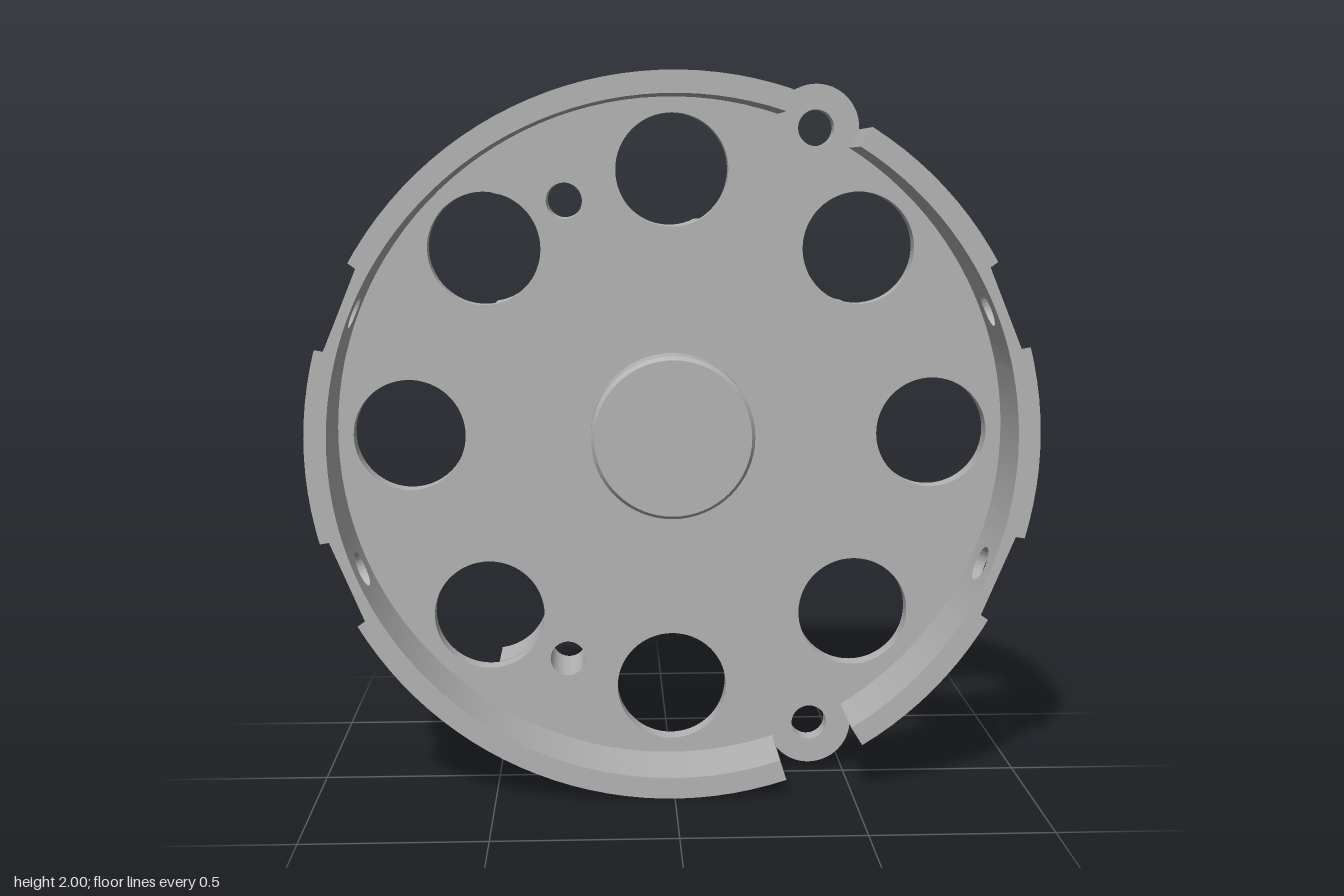
import * as THREE from 'three';
import { toCreasedNormals } from 'three/addons/utils/BufferGeometryUtils.js';

const { sqrt, sin, cos, abs, min, asin, atan2, PI } = Math;
const RAD = PI / 180;
// depth levels along z
const FRONT = 0.21, FLOOR = -0.01, BACK = -0.065, STEP = -0.13, REAR = -0.21;
const INNER = 0.94, FILLET = 0.035, FLAT = 0.968;      // rim radii
const SPOT = 0.165, SCREW = 0.05, PAD_Z = 0.1, PAD_W = 0.17;
const PAD_A = asin(PAD_W);
const EAR = new THREE.Vector2(0.4, 0.855), EAR_R = 0.12;
const HOLE_R = 0.157, HOLE_D = 0.74;

const metal = new THREE.MeshStandardMaterial({ color: 0xb4b4b4, side: THREE.DoubleSide });
metal.name = 'grey metal';

function add(group, name, geometry) {
  const mesh = new THREE.Mesh(toCreasedNormals(geometry, 0.5), metal);
  mesh.name = name;
  group.add(mesh);
}

// Grid surface from a rule f(i, j) -> [x, y, z]
function sheet(nu, nv, f) {
  const pos = [], idx = [];
  for (let j = 0; j <= nv; j++) for (let i = 0; i <= nu; i++) pos.push(...f(i, j));
  for (let j = 0; j < nv; j++) for (let i = 0; i < nu; i++) {
    const a = j * (nu + 1) + i, b = a + 1, c = a + nu + 1, d = c + 1;
    idx.push(a, b, d, a, d, c);
  }
  const g = new THREE.BufferGeometry();
  g.setAttribute('position', new THREE.Float32BufferAttribute(pos, 3));
  g.setIndex(idx);
  return g;
}

function circle(x, y, r) {
  return new THREE.Path().absarc(x, y, r, 0, 2 * PI, true);
}

function slab(shape, z0, z1) {
  return new THREE.ExtrudeGeometry(shape, { depth: z1 - z0, bevelEnabled: false, curveSegments: 32 })
    .translate(0, 0, z0);
}

function arc(cx, cy, r, from, to, n = 20) {
  return Array.from({ length: n + 1 }, (_, i) => {
    const a = from + (to - from) * i / n;
    return new THREE.Vector2(cx + r * cos(a), cy + r * sin(a));
  });
}

// Disc outline with two ears, pierced by the ring of large holes
function floorShape() {
  const r = 1 - FILLET, d = EAR.length(), e = EAR.angle();
  const half = Math.acos((r * r + d * d - EAR_R * EAR_R) / (2 * r * d));
  const earAngle = (a, s) => atan2(r * sin(a) - s * EAR.y, r * cos(a) - EAR.x);
  const s = new THREE.Shape();
  s.absarc(0, 0, r, e + half, 2 * PI - e - half, false);
  s.absarc(EAR.x, -EAR.y, EAR_R, earAngle(-e - half, -1), earAngle(-e + half, -1), false);
  s.absarc(0, 0, r, -e + half, e - half, false);
  s.absarc(EAR.x, EAR.y, EAR_R, earAngle(e - half, 1), earAngle(e + half, 1), false);
  for (let i = 0; i < 8; i++) {
    s.holes.push(circle(HOLE_D * cos(i * PI / 4), HOLE_D * sin(i * PI / 4), HOLE_R));
  }
  for (const m of [1, -1]) {
    s.holes.push(circle(-0.3, m * 0.655, 0.05), circle(EAR.x, m * EAR.y, 0.05));
  }
  return s;
}

// Mounting block outline: scalloped by the large holes, optionally slotted on one side
function blockShape(slotted, boreR) {
  const h = 0.52;
  const top = [
    ...arc(h, h, HOLE_R, 262.7 * RAD, 149.3 * RAD),
    ...arc(0, HOLE_D, HOLE_R, 297 * RAD, 180 * RAD),
    new THREE.Vector2(-0.157, 0.745), new THREE.Vector2(-0.5, 0.745),
    ...arc(-h, h, HOLE_R, 82.7 * RAD, -82.7 * RAD),
  ];
  if (slotted) {
    const w = asin(0.07 / boreR);
    top.push(new THREE.Vector2(-0.5, 0.33), ...arc(-0.26, 0.26, boreR, PI - w, -PI + w, 32),
      new THREE.Vector2(-0.5, 0.19));
  }
  const bottom = top.map(p => new THREE.Vector2(p.x, -p.y)).reverse();
  const s = new THREE.Shape([...top, ...bottom]);
  s.holes.push(circle(0.377, 0, 0.03));
  for (const m of [1, -1]) {
    s.holes.push(circle(-0.3, m * 0.655, 0.05), circle(0.3, m * 0.49, 0.05),
      circle(0.26, m * 0.26, boreR));
    if (!slotted) s.holes.push(circle(-0.26, m * 0.26, boreR));
  }
  return s;
}

// Closed rim section as (radius, z), with a rounded back edge
function rimProfile() {
  return [new THREE.Vector2(INNER, BACK),
    ...arc(1 - FILLET, BACK + FILLET, FILLET, -PI / 2, 0, 6),
    new THREE.Vector2(1, FRONT), new THREE.Vector2(INNER, FRONT), new THREE.Vector2(INNER, BACK)];
}

function rimSegment(a0, a1) {
  const n = Math.max(4, Math.ceil((a1 - a0) / RAD / 3));
  return new THREE.LatheGeometry(rimProfile(), n, a0 + PI / 2, a1 - a0).rotateX(PI / 2);
}

// Outer rim height above the axis plane at tangent offset t and depth z
function outer(t, z) {
  const k = Math.max(0, BACK + FILLET - z);
  const r = 1 - FILLET + sqrt(Math.max(0, FILLET * FILLET - k * k));
  return sqrt(r * r - t * t);
}

// Rim sector with a flat round spot face and a radial screw hole
function rimPad(group, angle) {
  const place = (t, n, z) => [n * cos(angle) - t * sin(angle), n * sin(angle) + t * cos(angle), z];
  const innerW = INNER * PAD_W, rings = 6;
  const wall = (i, j) => {
    const a = i / 128 * 2 * PI, c = cos(a), s = sin(a);
    const edge = (w, down) => min(w / Math.max(abs(c), 1e-6), (s > 0 ? FRONT - PAD_Z : down) / Math.max(abs(s), 1e-6));
    if (j <= rings) {                                   // inside face, edge to hole
      const e = edge(innerW, PAD_Z - FLOOR), r = e + (SCREW - e) * j / rings;
      return place(r * c, sqrt(INNER * INNER - r * r * c * c), PAD_Z + r * s);
    }
    const e = edge(PAD_W, PAD_Z - BACK), k = j - rings - 1;
    const r = k === 0 ? SCREW : k < 3 ? min(SPOT, e) : min(SPOT, e) + (e - min(SPOT, e)) * (k - 2) / rings;
    const t = r * c, z = PAD_Z + r * s, skin = outer(t, z);
    const flat = k < 2 || e <= SPOT;
    return place(t, flat ? min(FLAT, skin) : skin, z);
  };
  add(group, 'rimPad', sheet(128, 2 * rings + 3, wall));
  // front edge of the sector
  const cut = sqrt(SPOT ** 2 - (FRONT - PAD_Z) ** 2);
  add(group, 'rimPadEdge', sheet(60, 1, (i, j) => {
    const u = i / 30 - 1, t = u * (j ? PAD_W : innerW);
    return place(t, !j ? sqrt(INNER * INNER - t * t) : abs(t) < cut ? FLAT : outer(t, FRONT), FRONT);
  }));
}

export function createModel() {
  const model = new THREE.Group();
  model.name = 'hubHousing';
  const body = new THREE.Group();
  body.name = 'body';
  body.position.y = 1;
  model.add(body);

  add(body, 'floor', slab(floorShape(), BACK, FLOOR));

  // rim, interrupted by the pads and by the gaps at the ears
  const p = PAD_A / RAD, gap = [58.4, 71.8];
  const spans = [
    [-22.5 + p, 22.5 - p], [22.5 + p, gap[0]], [gap[1], 157.5 - p],
    [157.5 + p, 202.5 - p], [202.5 + p, 360 - gap[1]], [360 - gap[0], 337.5 - p],
  ];
  for (const [a, b] of spans) add(body, 'rim', rimSegment(a * RAD, b * RAD));
  for (const a of [gap[0], gap[1], -gap[0], -gap[1]]) {
    add(body, 'rimEnd', new THREE.ShapeGeometry(new THREE.Shape(rimProfile().slice(0, -1)))
      .rotateX(PI / 2).rotateZ(a * RAD));
  }
  for (const a of [22.5, 157.5, 202.5, 337.5]) rimPad(body, a * RAD);

  // chamfered centre boss
  const boss = [[0.23, FLOOR], [0.23, 0.075], [0.22, 0.09], [0, 0.09]].map(q => new THREE.Vector2(...q));
  add(body, 'centreBoss', new THREE.LatheGeometry(boss, 64).rotateX(PI / 2));

  // rear mounting block: counterbored layer over a pilot-hole layer
  add(body, 'mountingBlockRear', slab(blockShape(true, 0.12), REAR, STEP));
  add(body, 'mountingBlockBase', slab(blockShape(false, 0.07), STEP, BACK));
  return model;
}
